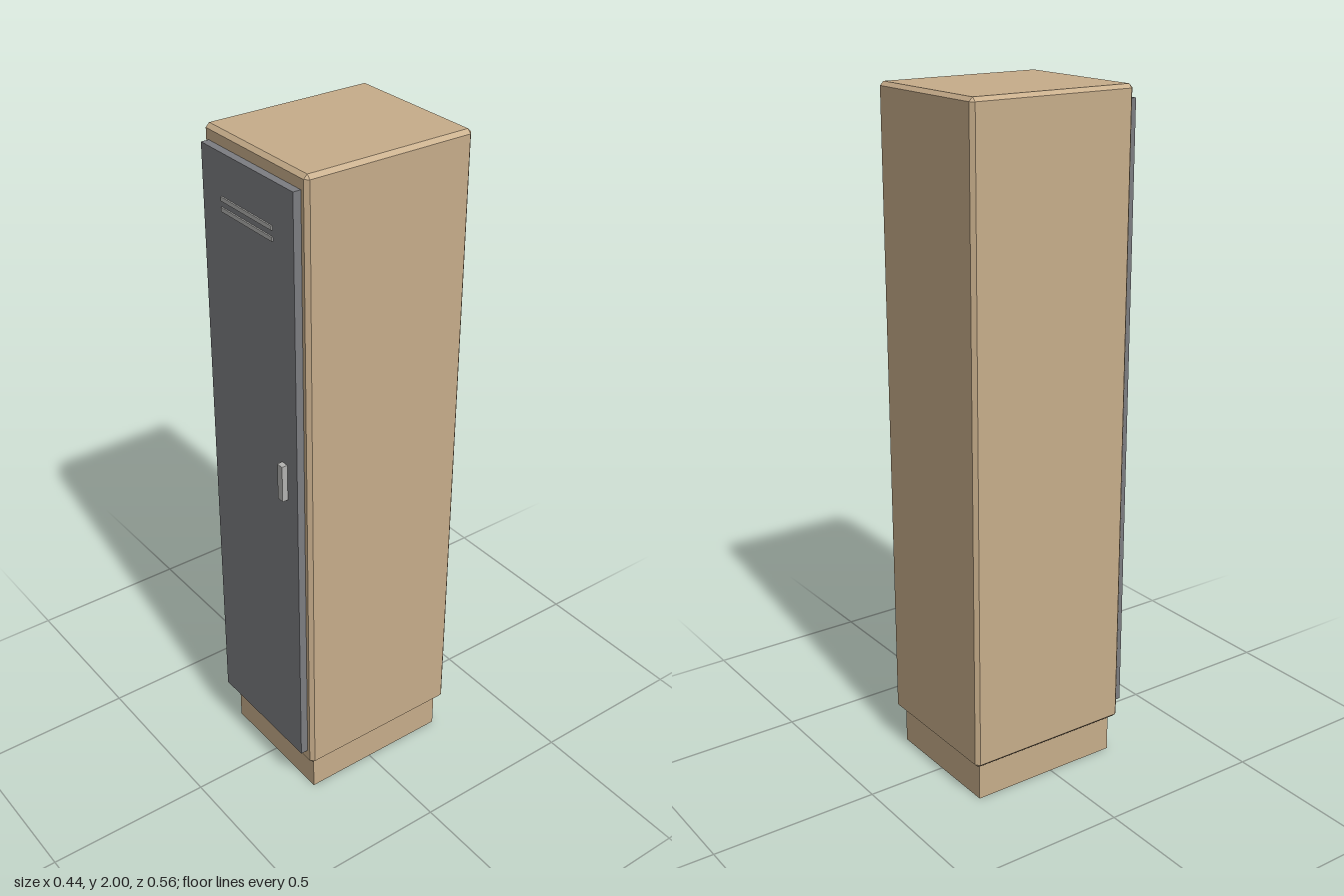
import * as THREE from 'three';
import { ConvexGeometry } from 'three/addons/geometries/ConvexGeometry.js';

const wood = new THREE.MeshStandardMaterial({ color: 0xc8ae8b });
const steel = new THREE.MeshStandardMaterial({ color: 0x7d7e82 });
const trim = new THREE.MeshStandardMaterial({ color: 0xb4b4b2 });

// Box with every edge cut at 45 degrees: three points per corner
function chamferedBox(w, h, d, c) {
  const points = [];
  for (const x of [-1, 1]) for (const y of [-1, 1]) for (const z of [-1, 1]) {
    for (let axis = 0; axis < 3; axis++) {
      const inset = [c, c, c];
      inset[axis] = 0;
      points.push(new THREE.Vector3(
        x * (w / 2 - inset[0]), y * (h / 2 - inset[1]), z * (d / 2 - inset[2])));
    }
  }
  return new ConvexGeometry(points);
}

export function createModel() {
  const group = new THREE.Group();

  // Adds a box spanning the given ranges, chamfered when c is set
  function addBox(name, material, [x0, x1], [y0, y1], [z0, z1], c = 0) {
    const size = [x1 - x0, y1 - y0, z1 - z0];
    const geometry = c ? chamferedBox(...size, c) : new THREE.BoxGeometry(...size);
    const mesh = new THREE.Mesh(geometry, material);
    mesh.name = name;
    mesh.position.set((x0 + x1) / 2, (y0 + y1) / 2, (z0 + z1) / 2);
    group.add(mesh);
  }

  // Recessed plinth and cabinet
  addBox('plinth', wood, [-0.2, 0.2], [0, 0.12], [-0.257, 0.216]);
  addBox('cabinetBody', wood, [-0.222, 0.222], [0.115, 2], [-0.279, 0.238], 0.011);

  // Door with vent slats and handle
  addBox('door', steel, [-0.2, 0.2], [0.159, 1.96], [0.23, 0.261]);
  for (const y of [1.808, 1.837]) {
    addBox('ventSlat', trim, [-0.112, 0.112], [y - 0.006, y + 0.006], [0.255, 0.265]);
  }
  addBox('handle', trim, [0.133, 0.155], [1.06, 1.171], [0.255, 0.278]);

  return group;
}
